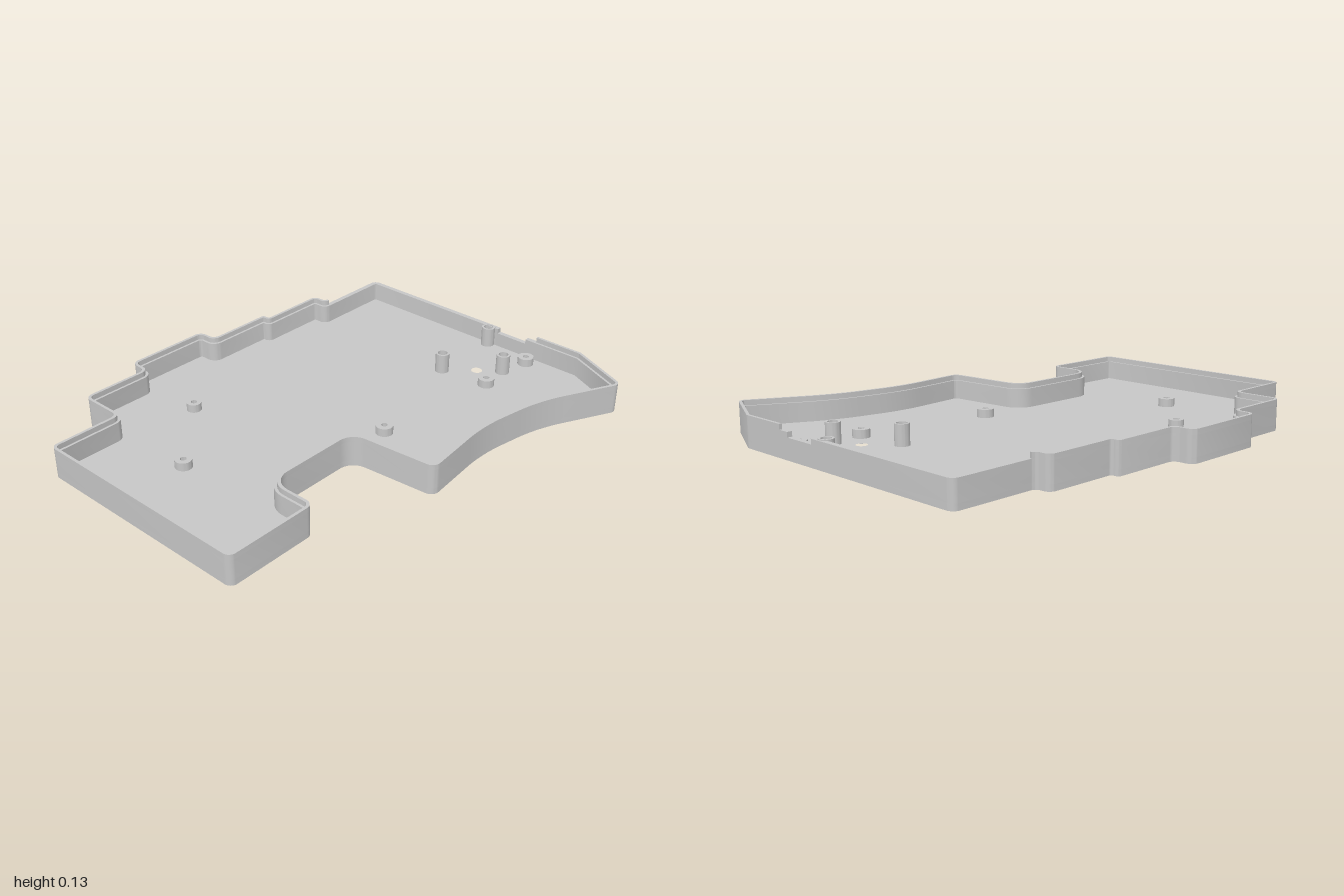
import * as THREE from 'three';
import { toCreasedNormals } from 'three/addons/utils/BufferGeometryUtils.js';

const FLOOR = 0.025, LEDGE = 0.108, RIM = 0.13, SILL = 0.087;
const WALL = 0.022, LIP = 0.012, STEPS = 8;

// Outline corners [x, z, radius]; radius 0 marks a cut on a straight edge
const corners = [
  [1, 0.28, 0], [1, 0.33, 0], [1, 0.55, 0.03], [0.873, 0.821, 0.03],
  [0.53, 0.65, 0.8], [0.22, 0.597, 0.8], [-0.132, 0.634, 0.035],
  [-0.165, 0.254, 0.07], [-0.597, 0.254, 0.08], [-0.597, 0.463, 0.035],
  [-1, 0.463, 0.03], [-1, -0.52, 0.03], [-0.688, -0.52, 0.03],
  [-0.688, -0.725, 0.035], [-0.378, -0.725, 0.03], [-0.378, -0.812, 0.035],
  [0.016, -0.812, 0.035], [0.016, -0.725, 0.03], [0.324, -0.725, 0.014],
  [0.324, -0.69, 0.012], [0.633, -0.69, 0.03], [0.633, -0.625, 0.02],
  [1, -0.625, 0.03], [1, 0.13, 0],
];
const LIP_START = 1, LIP_END = 21;

// Rounded outline moved inward by d: one list of points per corner
function outline(d) {
  const n = corners.length;
  const pts = corners.map(([x, z]) => new THREE.Vector2(x, z));
  const dirs = pts.map((p, i) => pts[(i + 1) % n].clone().sub(p).normalize());
  return corners.map(([, , r], i) => {
    const a = dirs[(i + n - 1) % n], b = dirs[i];
    const na = new THREE.Vector2(-a.y, a.x), nb = new THREE.Vector2(-b.y, b.x);
    const miter = na.clone().add(nb).divideScalar(1 + na.dot(nb));
    const corner = pts[i].clone().addScaledVector(miter, d);
    if (r === 0) return [corner];
    const turn = Math.sign(a.cross(b));
    const radius = turn > 0 ? Math.max(r - d, 0.005) : r + d * 0.6;
    const centre = corner.clone().addScaledVector(miter, turn * radius);
    const start = Math.atan2(-turn * na.y, -turn * na.x);
    const sweep = Math.atan2(a.cross(b), a.dot(b));
    return Array.from({ length: STEPS + 1 }, (_, k) => {
      const t = start + sweep * k / STEPS;
      return new THREE.Vector2(centre.x + radius * Math.cos(t), centre.y + radius * Math.sin(t));
    });
  });
}

const toShape = pts => new THREE.Shape(pts.map(p => new THREE.Vector2(p.x, -p.y)));

function addCircleHole(shape, x, z, r) {
  shape.holes.push(new THREE.Path().absarc(x, -z, r, 0, Math.PI * 2, true));
}

export function createModel() {
  const model = new THREE.Group();
  model.name = 'keyboardCaseBottom';
  const grey = new THREE.MeshStandardMaterial({ color: 0xc6c6c6 });
  grey.name = 'light grey plastic';

  // Upright extrusion between two heights
  function addSlab(name, shape, y0, y1) {
    const flat = new THREE.ExtrudeGeometry(shape, { depth: y1 - y0, bevelEnabled: false, curveSegments: 16 });
    flat.rotateX(-Math.PI / 2).translate(0, y0, 0);
    const mesh = new THREE.Mesh(toCreasedNormals(flat, 0.6), grey);
    mesh.name = name;
    model.add(mesh);
  }

  const outer = outline(0), inner = outline(WALL), lipInner = outline(LIP);
  const strip = (out, inn, from, to) => toShape([
    ...out.slice(from, to + 1).flat(),
    ...inn.slice(from, to + 1).flat().reverse(),
  ]);

  const bosses = [[-0.65, -0.173, 0.035], [-0.338, -0.465, 0.031], [0.057, 0.234, 0.036],
    [0.648, 0.307, 0.035], [0.923, 0.324, 0.035]];
  const posts = [[0.622, 0.088], [0.964, 0.088], [0.789, 0.293]];

  // Floor with screw holes and a button hole
  const floor = toShape(outer.flat());
  bosses.forEach(([x, z]) => addCircleHole(floor, x, z, 0.013));
  addCircleHole(floor, 0.725, 0.202, 0.024);
  addSlab('floor', floor, 0, FLOOR);

  // Wall, open at the port, with a lower sill across the opening
  const last = corners.length - 1;
  addSlab('wall', strip(outer, inner, 0, last), FLOOR, LEDGE);
  const sill = toShape([outer[last][0], outer[0][0], inner[0][0], inner[last][0]]);
  addSlab('portSill', sill, FLOOR, SILL);

  // Thin raised lip, absent along the lower back corner and side
  addSlab('lip', strip(outer, lipInner, LIP_START, LIP_END), LEDGE, RIM);

  // Hollow screw bosses and tall support posts
  function addTube(name, x, z, r, hole, top) {
    const ring = new THREE.Shape().absarc(x, -z, r, 0, Math.PI * 2, false);
    addCircleHole(ring, x, z, hole);
    addSlab(name, ring, FLOOR, top);
  }
  bosses.forEach(([x, z, r]) => addTube('screwBoss', x, z, r, 0.013, 0.06));
  posts.forEach(([x, z]) => addTube('supportPost', x, z, 0.03, 0.021, 0.112));

  return model;
}
